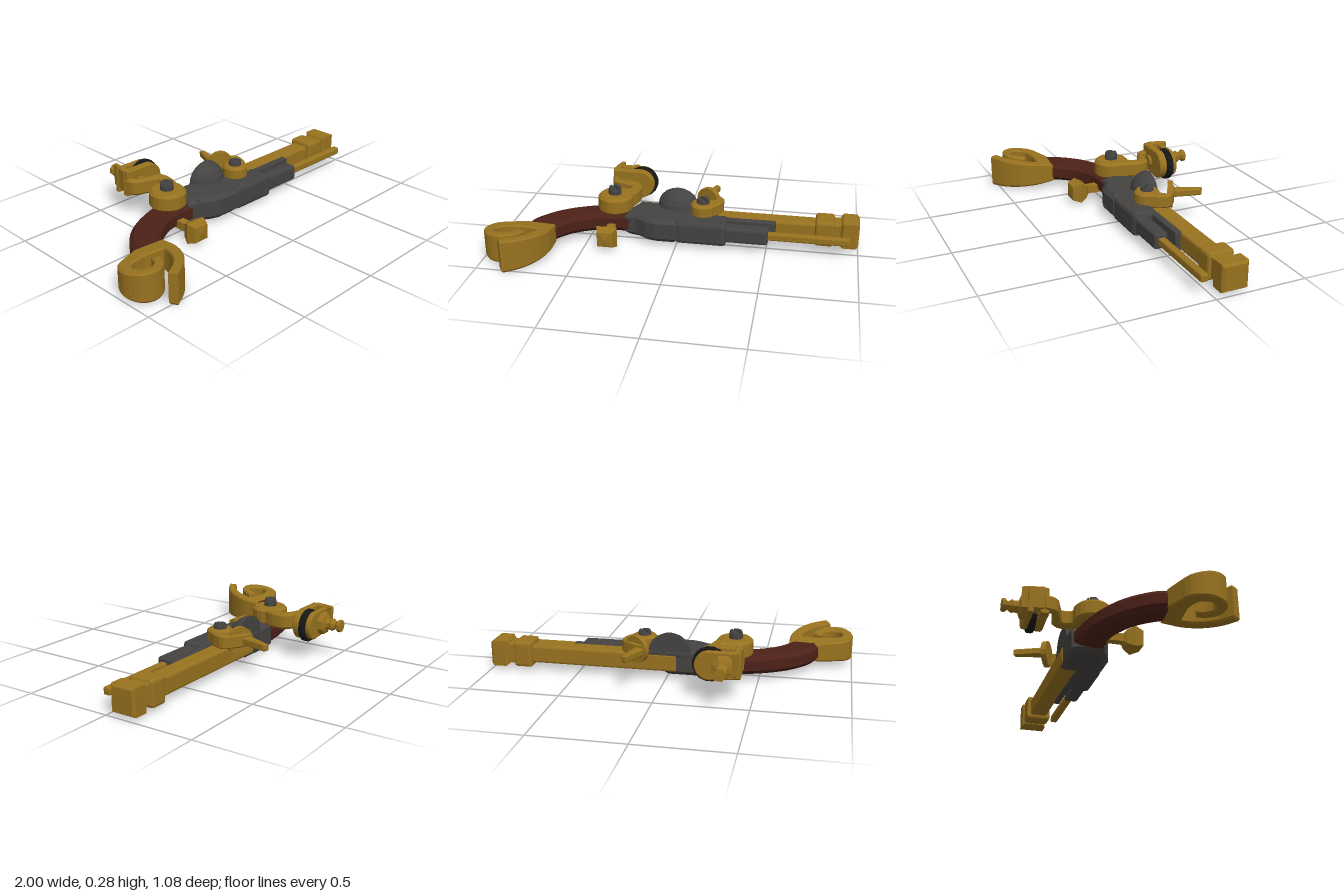
import * as THREE from 'three';
import { RoundedBoxGeometry } from 'three/addons/geometries/RoundedBoxGeometry.js';

const material = (color) => new THREE.MeshStandardMaterial({ color, flatShading: true });
const V2 = (p) => new THREE.Vector2(p[0], p[1]);

// Bevelled plate from an outline in (x, z), lying between heights y0 and y1
function plate(outline, y0, y1, bevel = 0.012) {
  const shape = new THREE.Shape(outline.map(([x, z]) => new THREE.Vector2(x, -z)));
  const geometry = new THREE.ExtrudeGeometry(shape, {
    depth: y1 - y0 - 2 * bevel, bevelThickness: bevel, bevelSize: bevel,
    bevelOffset: -bevel, bevelSegments: 1,
  });
  return geometry.rotateX(-Math.PI / 2).translate(0, y0 + bevel, 0);
}

// Outline of a curved strip through centre points [x, z, halfWidth]
function strip(points, steps = 20) {
  const curve = new THREE.CatmullRomCurve3(points.map((p) => new THREE.Vector3(...p)));
  const left = [], right = [];
  for (let i = 0; i <= steps; i++) {
    const p = curve.getPoint(i / steps), t = curve.getTangent(i / steps);
    const k = p.z / Math.hypot(t.x, t.y);
    left.push([p.x - t.y * k, p.y + t.x * k]);
    right.unshift([p.x + t.y * k, p.y - t.x * k]);
  }
  return left.concat(right);
}

// Outline of an ellipse
function oval(cx, cz, rx, rz = rx, n = 20) {
  return Array.from({ length: n }, (_, i) => {
    const a = (i / n) * Math.PI * 2;
    return [cx + rx * Math.cos(a), cz + rz * Math.sin(a)];
  });
}

// Turned shape along z from a profile [radius, -z]
function turned(profile, x, y, sides) {
  return new THREE.LatheGeometry(profile.map(V2), sides, Math.PI / sides)
    .rotateX(-Math.PI / 2).translate(x, y, 0);
}

// Box given by its limits
function block(x0, x1, y0, y1, z0, z1, r = 0.012) {
  return new RoundedBoxGeometry(x1 - x0, y1 - y0, z1 - z0, 1, r)
    .translate((x0 + x1) / 2, (y0 + y1) / 2, (z0 + z1) / 2);
}

// Hollow square section along x
function squareTube(x0, x1, outer, inner, bevel) {
  const square = (r) => [[-r, -r], [r, -r], [r, r], [-r, r]].map(V2);
  const shape = new THREE.Shape(square(outer));
  shape.holes.push(new THREE.Path(square(inner)));
  return new THREE.ExtrudeGeometry(shape, {
    depth: x1 - x0 - 2 * bevel, bevelThickness: bevel, bevelSize: bevel,
    bevelOffset: -bevel, bevelSegments: 1,
  }).rotateY(Math.PI / 2).translate(x0 + bevel, 0.095, -0.103);
}

export function createModel() {
  const model = new THREE.Group();
  const brass = material(0x98721f), wood = material(0x4c2118);
  const iron = material(0x454341), black = material(0x161616);
  const add = (name, geometry, mat, parent = model) => {
    const mesh = new THREE.Mesh(geometry, mat);
    mesh.name = name;
    parent.add(mesh);
    return mesh;
  };

  // Barrel with two square muzzle rings and a dark bore
  add('barrel', block(-0.06, 0.87, 0.045, 0.145, -0.155, -0.052), brass);
  add('muzzleBand', block(0.76, 0.865, 0.022, 0.168, -0.176, -0.03, 0.016), brass);
  add('muzzleNeck', block(0.85, 0.92, 0.038, 0.152, -0.16, -0.046, 0.008), brass);
  add('muzzleRing', squareTube(0.9, 1, 0.073, 0.05, 0.013), brass);
  add('bore', block(0.9, 0.975, 0.043, 0.147, -0.155, -0.051, 0.002), black);
  add('muzzleLip', squareTube(0.96, 0.992, 0.054, 0.037, 0.003), brass);

  // Iron lock body, fore-end and ramrod
  add('lockBody', plate([[-0.3, 0.02], [-0.23, 0.035], [-0.17, 0.073], [-0.12, 0.088], [0.012, 0.088],
    [0.012, -0.15], [-0.25, -0.15], [-0.29, -0.06]], 0.025, 0.165, 0.025), iron);
  add('lockPlate', plate([[-0.24, -0.153], [0.1, -0.153], [0.2, -0.05], [0.2, 0.03], [-0.24, 0.03]],
    0.13, 0.163, 0.008), iron);
  add('foreEnd', block(0, 0.283, 0.028, 0.162, -0.055, 0.087, 0.022), iron);
  add('sideRail', block(0.26, 0.545, 0.043, 0.147, -0.06, -0.022, 0.006), iron);
  add('ramrodPipe', block(0.27, 0.51, 0.053, 0.14, 0, 0.077, 0.013), iron);
  add('ramrod', block(0.5, 0.95, 0.076, 0.117, 0.016, 0.057, 0.008), brass);

  // Curved wooden grip
  add('grip', plate(strip([[-0.27, -0.06, 0.085], [-0.45, -0.037, 0.076], [-0.62, 0.05, 0.078],
    [-0.72, 0.17, 0.082], [-0.735, 0.22, 0.08]]), 0.042, 0.148, 0.025), wood);

  // Scrolled pommel, flaring towards its far end
  const pommel = new THREE.Group();
  pommel.name = 'pommel';
  model.add(pommel);
  const flare = (geometry) => {
    const p = geometry.attributes.position;
    for (let i = 0; i < p.count; i++) {
      const k = 1 + 0.75 * (p.getZ(i) - 0.2) / 0.33;
      p.setY(i, 0.095 + (p.getY(i) - 0.095) * k);
    }
    return geometry;
  };
  const pommelParts = {
    pommelCap: [[-0.812, 0.18], [-0.645, 0.2], [-0.645, 0.25], [-0.7, 0.285], [-0.88, 0.265], [-0.91, 0.215]],
    pommelScroll: strip([[-0.7, 0.24, 0.04], [-0.83, 0.237, 0.035], [-0.935, 0.265, 0.035], [-0.97, 0.335, 0.029],
      [-0.935, 0.4, 0.028], [-0.87, 0.412, 0.025], [-0.82, 0.375, 0.024], [-0.795, 0.325, 0.024]], 28),
    pommelTail: strip([[-0.68, 0.21, 0.033], [-0.68, 0.3, 0.031], [-0.715, 0.39, 0.028],
      [-0.775, 0.46, 0.026], [-0.855, 0.512, 0.024]]),
  };
  for (const [name, outline] of Object.entries(pommelParts))
    add(name, flare(plate(outline, 0.041, 0.149, 0.007)), brass, pommel);

  // Knobbed trigger
  add('trigger', turned([[0, -0.198], [0.06, -0.192], [0.082, -0.145], [0.055, -0.105],
    [0.032, -0.09], [0.032, 0.02]], -0.372, 0.07, 4), brass);

  // Hammer: round base, curled arm, jaws, flint and clamp screw
  const hammer = new THREE.Group();
  hammer.name = 'hammer';
  model.add(hammer);
  add('hammerBase', plate(oval(-0.368, -0.07, 0.1), 0.14, 0.238, 0.015), brass, hammer);
  add('hammerArm', plate(strip([[-0.34, -0.09, 0.06], [-0.283, -0.16, 0.033], [-0.285, -0.235, 0.03],
    [-0.355, -0.26, 0.02], [-0.415, -0.285, 0.019], [-0.425, -0.34, 0.024]], 24), 0.145, 0.235), brass, hammer);
  add('hammerSpur', plate(strip([[-0.425, -0.34, 0.022], [-0.42, -0.4, 0.016], [-0.41, -0.455, 0.01]], 6),
    0.15, 0.28, 0.006), brass, hammer);
  const jaw = (z0, z1, r) => {
    const shape = new THREE.Shape();
    shape.moveTo(-0.44, 0.13).lineTo(-0.2 - r, 0.193 - r);
    shape.absarc(-0.2 - r, 0.193, r, -Math.PI / 2, Math.PI / 2, false);
    shape.lineTo(-0.44, 0.193 + r);
    const b = 0.006;
    return new THREE.ExtrudeGeometry(shape, {
      depth: z1 - z0 - 2 * b, bevelThickness: b, bevelSize: b, bevelOffset: -b,
      bevelSegments: 1, curveSegments: 10,
    }).translate(0, 0, z0 + b);
  };
  add('lowerJaw', jaw(-0.36, -0.315, 0.083), brass, hammer);
  add('upperJaw', jaw(-0.425, -0.394, 0.078), brass, hammer);
  add('flint', turned([[0, 0.36], [0.088, 0.36], [0.092, 0.366], [0.092, 0.39], [0.088, 0.396], [0, 0.396]],
    -0.277, 0.19, 16), black, hammer);
  add('clampScrew', turned([[0, 0.3], [0.034, 0.3], [0.034, 0.425], [0.065, 0.425], [0.06, 0.45], [0.034, 0.46],
    [0.03, 0.48], [0.036, 0.495], [0.022, 0.515], [0.036, 0.53], [0.034, 0.547], [0, 0.548]],
  -0.35, 0.193, 8), brass, hammer);

  // Half-bowl priming pan
  const pan = new THREE.SphereGeometry(1, 20, 10, 0, Math.PI).scale(0.115, 0.105, 0.105);
  add('primingPan', pan.translate(-0.02, 0.16, -0.15), iron);
  add('panCover', new THREE.CircleGeometry(1, 20).rotateY(Math.PI).scale(0.115, 0.105, 1)
    .translate(-0.02, 0.16, -0.15), iron);

  // Frizzen: pivot plate, oval striking face and lever
  const frizzen = new THREE.Group();
  frizzen.name = 'frizzen';
  model.add(frizzen);
  add('frizzenBase', plate(oval(0.135, -0.06, 0.07), 0.14, 0.225), brass, frizzen);
  add('frizzenArm', plate(strip([[0.15, -0.05, 0.05], [0.205, -0.1, 0.03], [0.225, -0.145, 0.018],
    [0.17, -0.19, 0.018], [0.1, -0.225, 0.016]], 14), 0.145, 0.22, 0.008), brass, frizzen);
  const face = add('frizzenFace', new THREE.CylinderGeometry(0.075, 0.075, 0.03, 16).rotateX(Math.PI / 2),
    brass, frizzen);
  face.position.set(0.15, 0.182, -0.195);
  face.rotation.y = -0.5;
  add('frizzenLever', plate([[0.09, -0.21], [0.15, -0.195], [0.192, -0.368], [0.168, -0.385]],
    0.16, 0.2, 0.006), brass, frizzen);

  // Slotted pivot screws
  for (const [x, z, top] of [[-0.372, -0.07, 0.28], [0.135, -0.06, 0.25]]) {
    const screw = new THREE.Group();
    screw.name = 'pivotScrew';
    screw.position.set(x, top, z);
    screw.rotation.y = 0.7;
    model.add(screw);
    add('screwShank', new THREE.CylinderGeometry(0.036, 0.038, 0.06, 12).translate(0, -0.043, 0), iron, screw);
    for (const s of [-1, 1]) {
      const half = new THREE.CylinderGeometry(0.03, 0.036, 0.018, 8, 1, false, 0, Math.PI);
      half.scale(0.85, 1, 1).rotateY(s > 0 ? 0 : Math.PI).translate(s * 0.006, -0.009, 0);
      add('screwHead', half, iron, screw);
      add('slotWall', new THREE.PlaneGeometry(0.066, 0.018).rotateY(-s * Math.PI / 2)
        .translate(s * 0.006, -0.009, 0), iron, screw);
    }
  }
  return model;
}
